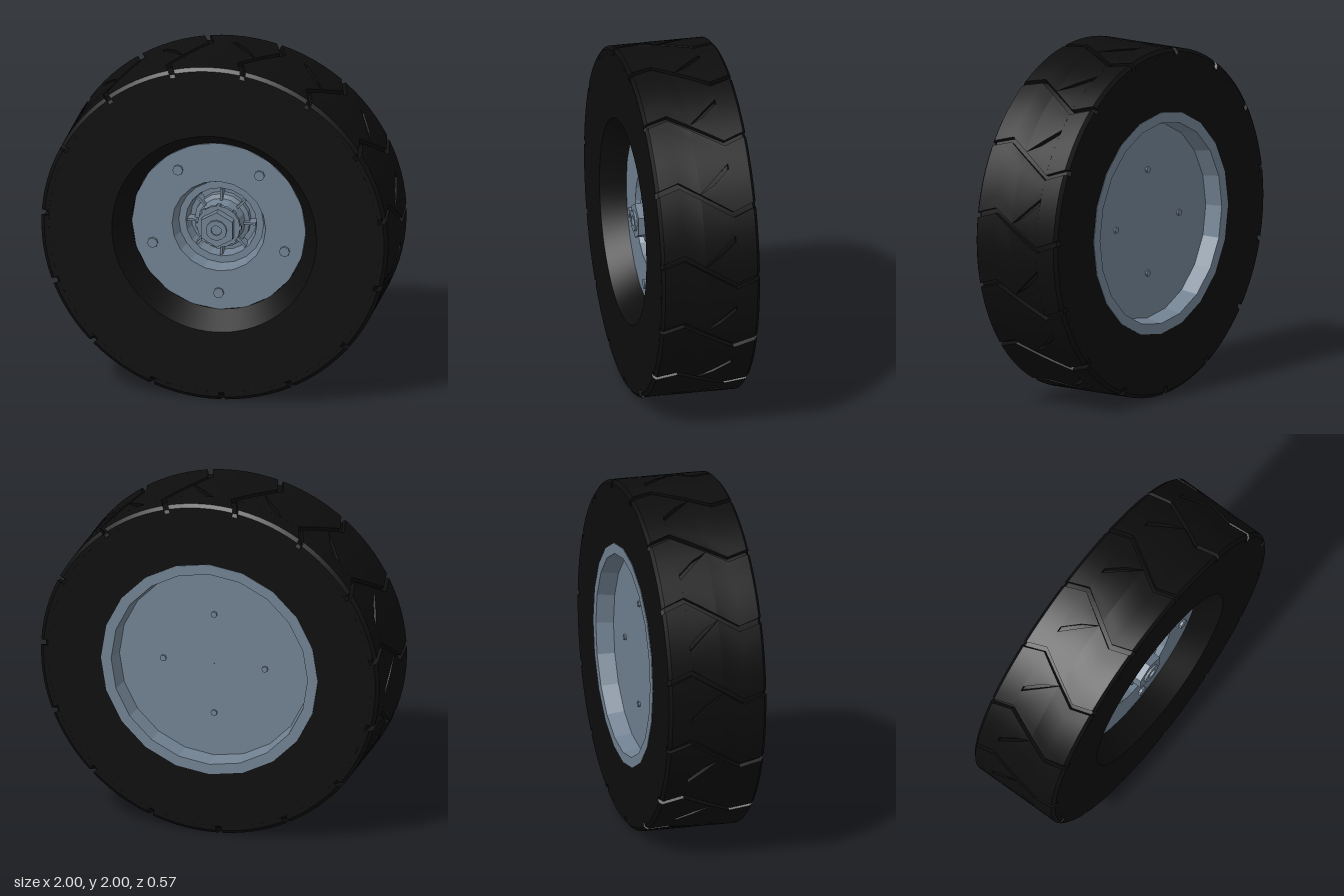
import * as THREE from 'three';
import { mergeGeometries, toCreasedNormals } from 'three/addons/utils/BufferGeometryUtils.js';

const rubber = new THREE.MeshStandardMaterial({ color: 0x0d0d0d });
rubber.name = 'black rubber';
const steel = new THREE.MeshStandardMaterial({ color: 0x708090 });
steel.name = 'slate steel';

const DEG = Math.PI / 180;
const HALF = 0.285;       // half the tyre width
const PITCHES = 15;       // tread blocks around the tyre
const PITCH = 360 / PITCHES;
const GAP = 1.8;          // groove width in degrees

function mesh(name, geometry, material) {
  const m = new THREE.Mesh(geometry, material);
  m.name = name;
  return m;
}

// Turned part around the z axis; profile points are [radius, z]
function turned(name, points, sides, material, crease = 0.5) {
  const geo = new THREE.LatheGeometry(points.map(p => new THREE.Vector2(...p)), sides);
  geo.rotateX(Math.PI / 2);
  return mesh(name, toCreasedNormals(geo, crease), material);
}

// Flat-sided prism along z, between z0 and z1
function prism(name, radius, sides, z0, z1, x = 0, y = 0) {
  const geo = new THREE.CylinderGeometry(radius, radius, z1 - z0, sides);
  geo.rotateX(Math.PI / 2);
  geo.translate(x, y, (z0 + z1) / 2);
  return mesh(name, toCreasedNormals(geo, 0.5), steel);
}

// Zigzag groove angle in degrees across the tyre width
function zigzag(z) {
  const pts = [[-HALF, -8], [-0.15, -11], [0.15, 0], [HALF, -2.5]];
  let i = 0;
  while (i < 2 && z > pts[i + 1][0]) i++;
  const [a, b] = [pts[i], pts[i + 1]];
  return a[1] + (b[1] - a[1]) * (z - a[0]) / (b[0] - a[0]);
}

// Angle of the branch groove above the zigzag
const branch = z => 16 * (0.03 - z) / 0.18;

// Curved tread block: z stations, with lower and upper edges above the zigzag
function treadBlock(start, stations, low, high) {
  const geo = new THREE.BoxGeometry(1, 1, 1, 6, 1, stations.length - 1);
  const pos = geo.attributes.position;
  for (let i = 0; i < pos.count; i++) {
    const z = stations[Math.round((pos.getZ(i) + 0.5) * (stations.length - 1))];
    const t = 0.5 - pos.getX(i);
    const angle = (start + zigzag(z) + low(z) + (high(z) - low(z)) * t) * DEG;
    const top = Math.abs(z) > 0.28 ? 0.98 : 1;
    const r = pos.getY(i) > 0 ? top : 0.955;
    pos.setXYZ(i, r * Math.cos(angle), r * Math.sin(angle), z);
  }
  return toCreasedNormals(geo, 0.4);
}

function createTread() {
  const blocks = [];
  const bottom = () => GAP / 2;
  const top = () => PITCH - GAP / 2;
  for (let i = 0; i < PITCHES; i++) {
    const start = 10.9 + i * PITCH;
    blocks.push(
      treadBlock(start, [0.03, 0.15, 0.268, HALF], bottom, top),
      treadBlock(start, [-HALF, -0.268, -0.15], bottom, top),
      treadBlock(start, [-0.15, -0.06, 0.03], bottom, z => Math.max(GAP / 2, branch(z) - GAP / 2)),
      treadBlock(start, [-0.15, -0.06, 0.03], z => branch(z) + GAP / 2, top));
  }
  return mesh('tread', mergeGeometries(blocks), rubber);
}

export function createModel() {
  const wheel = new THREE.Group();
  wheel.name = 'wheel';

  // Tyre carcass with a dished front opening
  wheel.add(turned('tyre', [
    [0.972, -0.268], [0.972, 0.268], [0.955, HALF], [0.59, HALF], [0.5, 0.15],
    [0.5, 0.1], [0.63, -0.2], [0.63, -HALF], [0.955, -HALF], [0.972, -0.268],
  ], 80, rubber));
  wheel.add(createTread());

  // Front disc with a stepped centre well
  wheel.add(turned('frontDisc', [
    [0.502, 0.12], [0.502, 0.15], [0.27, 0.15], [0.245, 0.08], [0.205, 0.08],
    [0.19, 0.01], [0.001, 0.01],
  ], 20, steel, 0.2));

  // Back plate and raised rim flange
  wheel.add(turned('backRim', [
    [0.001, -0.19], [0.56, -0.19], [0.58, -0.288], [0.64, -0.288], [0.64, -0.27],
  ], 20, steel, 0.2));

  // Hub: sleeve, collar, nut and hollow axle end
  const hub = new THREE.Group();
  hub.name = 'hub';
  hub.add(turned('hubSleeve', [
    [0.16, 0.01], [0.16, 0.05], [0.135, 0.06], [0.115, 0.14],
  ], 16, steel, 0.2));
  hub.add(prism('collar', 0.125, 16, 0.135, 0.16));
  hub.add(prism('hubNut', 0.105, 6, 0.16, 0.215));
  hub.add(turned('axleEnd', [
    [0.06, 0.2], [0.06, 0.228], [0.03, 0.228], [0.03, 0.2], [0.001, 0.2],
  ], 12, steel));

  // Radial webs in the well and teeth on the collar
  for (let i = 0; i < 8; i++) {
    const spin = new THREE.Group();
    spin.name = 'hubSpoke';
    spin.rotation.z = i * Math.PI / 4;
    const web = mesh('web', new THREE.BoxGeometry(0.085, 0.014, 0.07), steel);
    web.position.set(0.155, 0, 0.045);
    const tooth = mesh('tooth', new THREE.BoxGeometry(0.02, 0.025, 0.02), steel);
    tooth.position.set(0.122, 0, 0.148);
    spin.add(web, tooth);
    hub.add(spin);
  }
  wheel.add(hub);

  // Five front bolts and four small back bolts
  for (let i = 0; i < 5; i++) {
    const a = -Math.PI / 2 + i * Math.PI * 2 / 5;
    wheel.add(prism('frontBolt', 0.03, 8, 0.14, 0.165, 0.4 * Math.cos(a), 0.4 * Math.sin(a)));
  }
  for (let i = 0; i < 4; i++) {
    const a = i * Math.PI / 2;
    wheel.add(prism('backBolt', 0.018, 8, -0.202, -0.18, 0.3 * Math.cos(a), 0.3 * Math.sin(a)));
  }

  wheel.position.y = 1;
  const model = new THREE.Group();
  model.name = 'wheelModel';
  model.add(wheel);
  return model;
}
